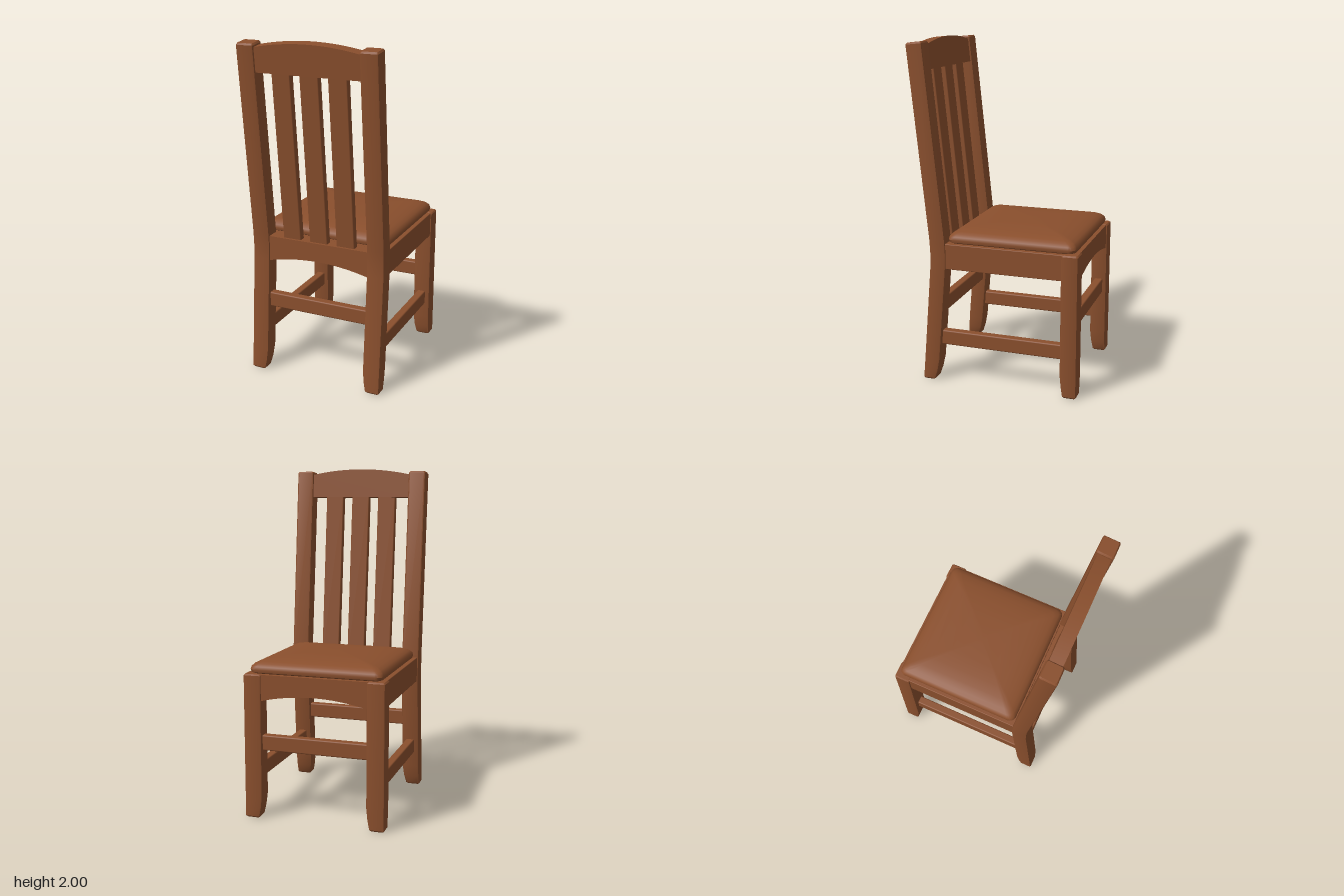
import * as THREE from 'three';
import { toCreasedNormals } from 'three/addons/utils/BufferGeometryUtils.js';
import { RoundedBoxGeometry } from 'three/addons/geometries/RoundedBoxGeometry.js';

// Horizontal rounded-rectangle cross-section, counterclockwise from above
function ring(x0, x1, z0, z1, r, n, yAt) {
  const pts = [];
  const corners = [[x1 - r, z0 + r], [x0 + r, z0 + r], [x0 + r, z1 - r], [x1 - r, z1 - r]];
  corners.forEach(([cx, cz], k) => {
    for (let i = 0; i <= n; i++) {
      const a = (k + i / n) * Math.PI / 2;
      const x = cx + r * Math.cos(a), z = cz - r * Math.sin(a);
      pts.push([x, yAt(z), z]);
    }
  });
  return pts;
}

// Skin a stack of equal rings and cap both ends
function loft(rings) {
  const n = rings[0].length, m = rings.length, pos = rings.flat(), idx = [];
  for (let i = 0; i < m - 1; i++) for (let j = 0; j < n; j++) {
    const a = i * n + j, b = i * n + (j + 1) % n;
    idx.push(a, b, b + n, a, b + n, a + n);
  }
  [0, m - 1].forEach((row) => {
    const c = pos.length, centre = [0, 0, 0];
    rings[row].forEach((p) => p.forEach((v, k) => { centre[k] += v / n; }));
    pos.push(centre);
    for (let j = 0; j < n; j++) {
      const a = row * n + j, b = row * n + (j + 1) % n;
      if (row) idx.push(c, a, b); else idx.push(c, b, a);
    }
  });
  const g = new THREE.BufferGeometry();
  g.setAttribute('position', new THREE.Float32BufferAttribute(pos.flat(), 3));
  g.setIndex(idx);
  g.computeVertexNormals();
  return toCreasedNormals(g, 0.6);
}

// Leg stations: [y, z front, z back, inner x, outer x, tilt of the cut]
function legGeometry(stations, side) {
  return loft(stations.map(([y, z0, z1, xi, xo, tilt = 0]) => {
    const zc = (z0 + z1) / 2;
    return ring(Math.min(side * xi, side * xo), Math.max(side * xi, side * xo),
      z0, z1, 0.009, 2, (z) => y - tilt * (z - zc));
  }));
}

// Board with a curved top or bottom edge, centred in depth
function archedBoard(halfWidth, bottom, bottomMid, top, topMid, depth) {
  const s = new THREE.Shape();
  s.moveTo(-halfWidth, bottom);
  s.quadraticCurveTo(0, 2 * bottomMid - bottom, halfWidth, bottom);
  s.lineTo(halfWidth, top);
  s.quadraticCurveTo(0, 2 * topMid - top, -halfWidth, top);
  const g = new THREE.ExtrudeGeometry(s, { depth, bevelEnabled: false, curveSegments: 16 });
  g.translate(0, 0, -depth / 2);
  return toCreasedNormals(g, 0.5);
}

export function createModel() {
  const model = new THREE.Group();
  model.name = 'chair';
  const wood = new THREE.MeshStandardMaterial({ color: 0x8a4f2d });
  wood.name = 'brown wood';

  const add = (name, geometry, x = 0, y = 0, z = 0, tilt = 0) => {
    const mesh = new THREE.Mesh(geometry, wood);
    mesh.name = name;
    mesh.position.set(x, y, z);
    mesh.rotation.x = tilt;
    model.add(mesh);
  };
  const bar = (w, h, d, r = 0.008) => new RoundedBoxGeometry(w, h, d, 2, r);

  const lean = 0.102;
  const backZ = (y) => 0.335 + (y - 0.85) * 0.104; // centre line of the backrest

  const rearLeg = [
    [0, 0.37, 0.432, 0.335, 0.41],
    [0.008, 0.362, 0.438, 0.328, 0.416],
    [0.06, 0.346, 0.434, 0.318, 0.416],
    [0.13, 0.333, 0.428, 0.311, 0.416],
    [0.7, 0.286, 0.382, 0.311, 0.416],
    [0.78, 0.284, 0.38, 0.311, 0.416],
    [0.86, 0.288, 0.384, 0.311, 0.416],
    [1.973, 0.403, 0.5, 0.311, 0.416, 0.1],
    [1.983, 0.41, 0.494, 0.318, 0.409, 0.1],
  ];
  const frontLeg = [
    [0, -0.494, -0.425, 0.335, 0.41],
    [0.008, -0.5, -0.418, 0.328, 0.416],
    [0.06, -0.5, -0.41, 0.318, 0.416],
    [0.13, -0.5, -0.403, 0.311, 0.416],
    [0.838, -0.5, -0.403, 0.311, 0.416],
    [0.846, -0.493, -0.41, 0.318, 0.409],
  ];

  // Legs, side rails and side stretchers
  for (const [side, label] of [[1, 'left'], [-1, 'right']]) {
    add(label + 'RearLeg', legGeometry(rearLeg, side));
    add(label + 'FrontLeg', legGeometry(frontLeg, side));
    add(label + 'SeatRail', bar(0.07, 0.15, 0.71, 0.004), side * 0.373, 0.77, -0.06);
    add(label + 'Stretcher', bar(0.05, 0.088, 0.75), side * 0.363, 0.265, -0.045);
  }

  // Arched rails and cross stretchers
  add('rearSeatRail', archedBoard(0.315, 0.693, 0.733, 0.845, 0.845, 0.08), 0, 0, 0.332);
  add('frontSeatRail', archedBoard(0.315, 0.693, 0.733, 0.845, 0.845, 0.07), 0, 0, -0.458);
  add('rearStretcher', bar(0.64, 0.09, 0.05), 0, 0.445, 0.354);
  add('frontStretcher', bar(0.64, 0.09, 0.05), 0, 0.445, -0.452);

  // Backrest
  add('crestRail', archedBoard(0.315, 0, 0, 0.139, 0.172, 0.075), 0, 1.825, backZ(1.825), lean);
  for (const x of [-0.169, 0, 0.169]) {
    add('backSlat', bar(0.111, 1.0, 0.043, 0.006), x, 1.335, backZ(1.335), lean);
  }

  // Seat panel and domed cushion, given as [inset, y]
  add('seatPanel', new THREE.BoxGeometry(0.7, 0.045, 0.74), 0, 0.822, -0.08);
  const dome = [[0.02, 0.843], [0.004, 0.852], [0, 0.868], [0.005, 0.885], [0.02, 0.9],
    [0.045, 0.911], [0.09, 0.921], [0.15, 0.929], [0.24, 0.935], [0.36, 0.938]];
  add('seatCushion', loft(dome.map(([inset, y]) => ring(-0.392 + inset, 0.392 - inset,
    -0.478 + inset, 0.283 - inset, Math.max(0.04 - inset * 0.15, 0.01), 5, () => y))));

  return model;
}
